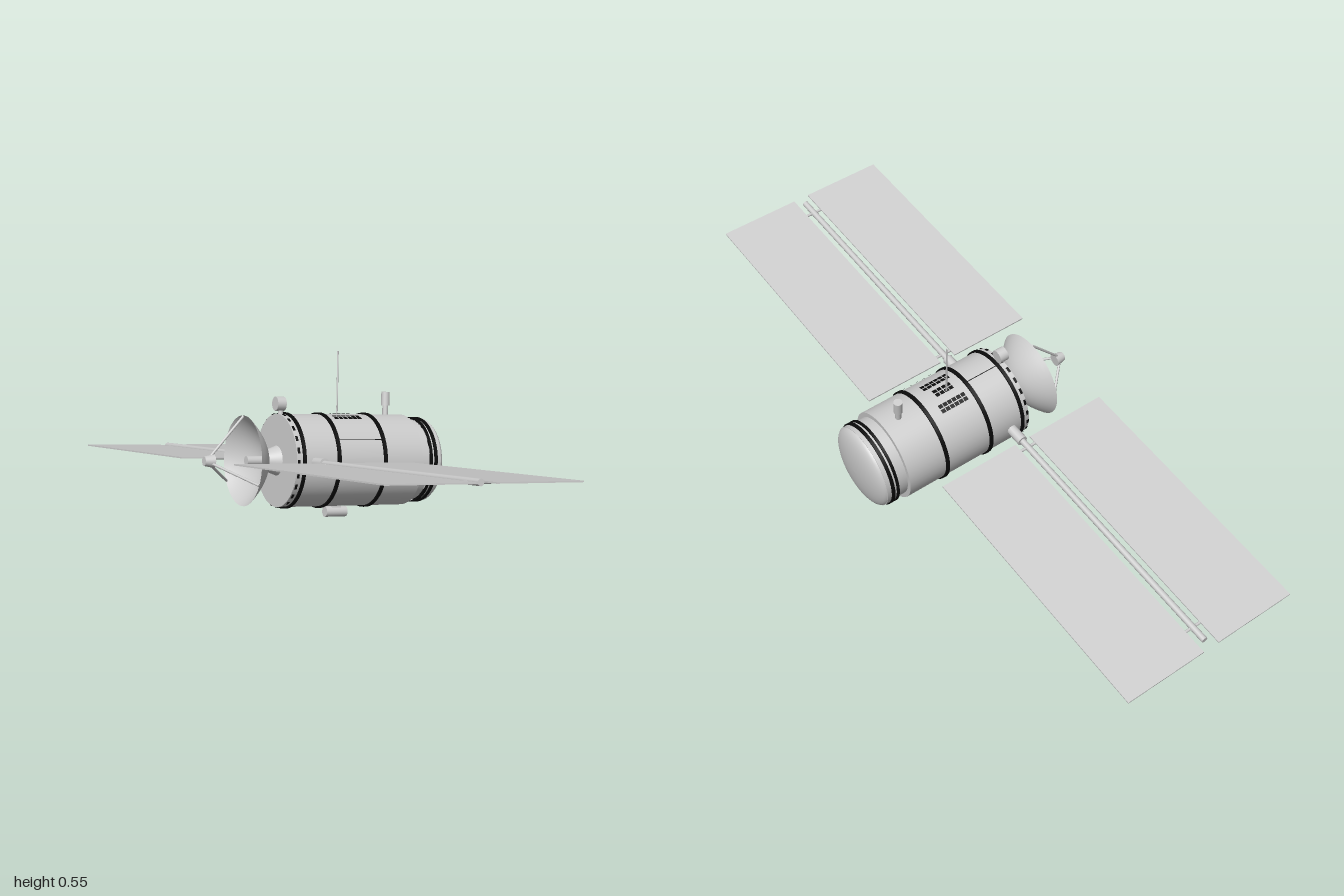
import * as THREE from 'three';

export function createModel() {
  const root = new THREE.Group();
  root.name = 'satellite';
  // Inside the craft: +x runs aft along the hull, +y is its top, z follows the wings
  const craft = new THREE.Group();
  craft.name = 'craft';
  craft.rotation.set(-0.2443, 0.532, 0, 'XYZ');
  craft.position.y = 0.249;
  root.add(craft);

  const std = (name, color, side = THREE.FrontSide) => {
    const m = new THREE.MeshStandardMaterial({ color, side });
    m.name = name;
    return m;
  };
  const grey = std('light grey', 0xcccccc);
  const greySheet = std('light grey sheet', 0xcccccc, THREE.DoubleSide);
  const black = std('black', 0x0a0a0a, THREE.DoubleSide);

  const add = (name, geo, mat = grey, x = 0, y = 0, z = 0) => {
    const m = new THREE.Mesh(geo, mat);
    m.name = name;
    m.position.set(x, y, z);
    craft.add(m);
    return m;
  };
  // Cylinder along the hull axis from x0 to x1
  const drum = (name, x0, x1, r0, r1, mat = grey, y = 0, sides = 48) =>
    add(name, new THREE.CylinderGeometry(r1, r0, x1 - x0, sides).rotateZ(-Math.PI / 2), mat, (x0 + x1) / 2, y);
  // Round rod between two points
  const rod = (name, a, b, r, mat = grey, sides = 12) => {
    const p = new THREE.Vector3(...a), d = new THREE.Vector3(...b).sub(p);
    const m = add(name, new THREE.CylinderGeometry(r, r, d.length(), sides), mat);
    m.position.copy(p).addScaledVector(d, 0.5);
    m.quaternion.setFromUnitVectors(new THREE.Vector3(0, 1, 0), d.normalize());
    return m;
  };
  const lathe = (name, pts, mat) =>
    add(name, new THREE.LatheGeometry(pts.map(p => new THREE.Vector2(...p)), 48).rotateZ(-Math.PI / 2), mat);
  // Thin plate wrapped on the hull; angle is measured from the top towards +z
  const R = 0.138;
  const patch = (name, x0, x1, angle, width) =>
    add(name, new THREE.CylinderGeometry(R + 0.0025, R + 0.0025, x1 - x0, 4, 1, true,
      -Math.PI / 2 - angle - width / 2, width).rotateZ(-Math.PI / 2), black, (x0 + x1) / 2);

  // Hull
  drum('hull', -0.062, 0.36, R, R);
  drum('hullNeck', 0.355, 0.415, 0.124, 0.124);
  drum('aftCollar', 0.392, 0.43, 0.127, 0.127);
  const dome = [];
  for (let i = 0; i <= 10; i++) {
    const a = (i / 10) * Math.PI / 2;
    dome.push([0.126 * Math.cos(a), 0.428 + 0.034 * Math.sin(a)]);
  }
  lathe('aftDome', dome, greySheet);

  // Black bands
  for (const [x, r, w] of [[-0.038, 0.143, 0.01], [0.076, 0.143, 0.011], [0.231, 0.143, 0.011],
    [0.396, 0.131, 0.008], [0.412, 0.131, 0.01]])
    drum('hullBand', x - w / 2, x + w / 2, r, r, black);
  for (let i = 0; i < 24; i++) patch('frontRimStud', -0.06, -0.052, i * Math.PI / 12, 0.12);

  // Vents on top, each made of short slots, and seam lines
  for (const [angle, x0, n] of [[-0.37, 0.1, 6], [-0.07, 0.115, 4], [0.31, 0.1, 6]])
    for (const row of [-0.055, 0.055])
      for (let i = 0; i < n; i++) patch('ventSlot', x0 + i * 0.0155, x0 + i * 0.0155 + 0.013, angle + row, 0.085);
  patch('hullSeam', -0.033, 0.07, 0.05, 0.018);
  patch('hullSeam', 0.08, 0.226, -1.08, 0.018);

  // Dish with horn, feed and three struts
  const bowl = [];
  for (let i = 0; i <= 12; i++) {
    const r = 0.133 * i / 12;
    bowl.push([r, -0.098 - 0.073 * (r / 0.133) ** 2]);
  }
  lathe('dish', bowl, greySheet);
  drum('dishMount', -0.1, -0.06, 0.03, 0.045);
  drum('dishHorn', -0.16, -0.098, 0.014, 0.014, grey, 0, 20);
  drum('feed', -0.294, -0.264, 0.014, 0.02, grey, 0, 20);
  for (let i = 0; i < 3; i++) {
    const a = i * Math.PI * 2 / 3;
    rod('feedStrut', [-0.275, 0.012 * Math.cos(a), 0.012 * Math.sin(a)],
      [-0.171, 0.13 * Math.cos(a), 0.13 * Math.sin(a)], 0.004, grey, 8);
  }

  // Solar wings
  for (const s of [1, -1]) {
    rod('wingRoot', [0, 0, s * 0.12], [0, 0, s * 0.19], 0.016);
    rod('wingSpar', [0, 0, s * 0.12], [0, 0, s * 1.0], 0.0095);
    for (const t of [1, -1])
      add('solarPanel', new THREE.BoxGeometry(0.259, 0.004, 0.837), grey, t * 0.1555, 0, s * 0.6085);
    for (const z of [0.215, 0.95])
      rod('panelCrossRod', [-0.2, -0.003, s * z], [0.2, -0.003, s * z], 0.0045, grey, 8);
  }

  // Whip antenna and aft mast
  rod('whipAntenna', [0.139, 0.13, 0], [0.139, 0.327, 0], 0.0025, grey, 8);
  rod('aftMast', [0.306, 0.13, 0], [0.306, 0.17, 0], 0.009);
  rod('aftMastHead', [0.306, 0.165, 0], [0.306, 0.207, 0], 0.013, grey, 16);

  // Forward sensor on a post
  rod('sensorPost', [-0.05, 0.13, 0], [-0.05, 0.165, 0], 0.008);
  drum('sensorHead', -0.068, -0.04, 0.021, 0.021, grey, 0.168, 20);

  // Belly pod
  drum('bellyPod', 0.103, 0.173, 0.016, 0.016, grey, -0.155, 20);
  add('bellyMount', new THREE.BoxGeometry(0.03, 0.03, 0.02), grey, 0.138, -0.138, 0);

  return root;
}
